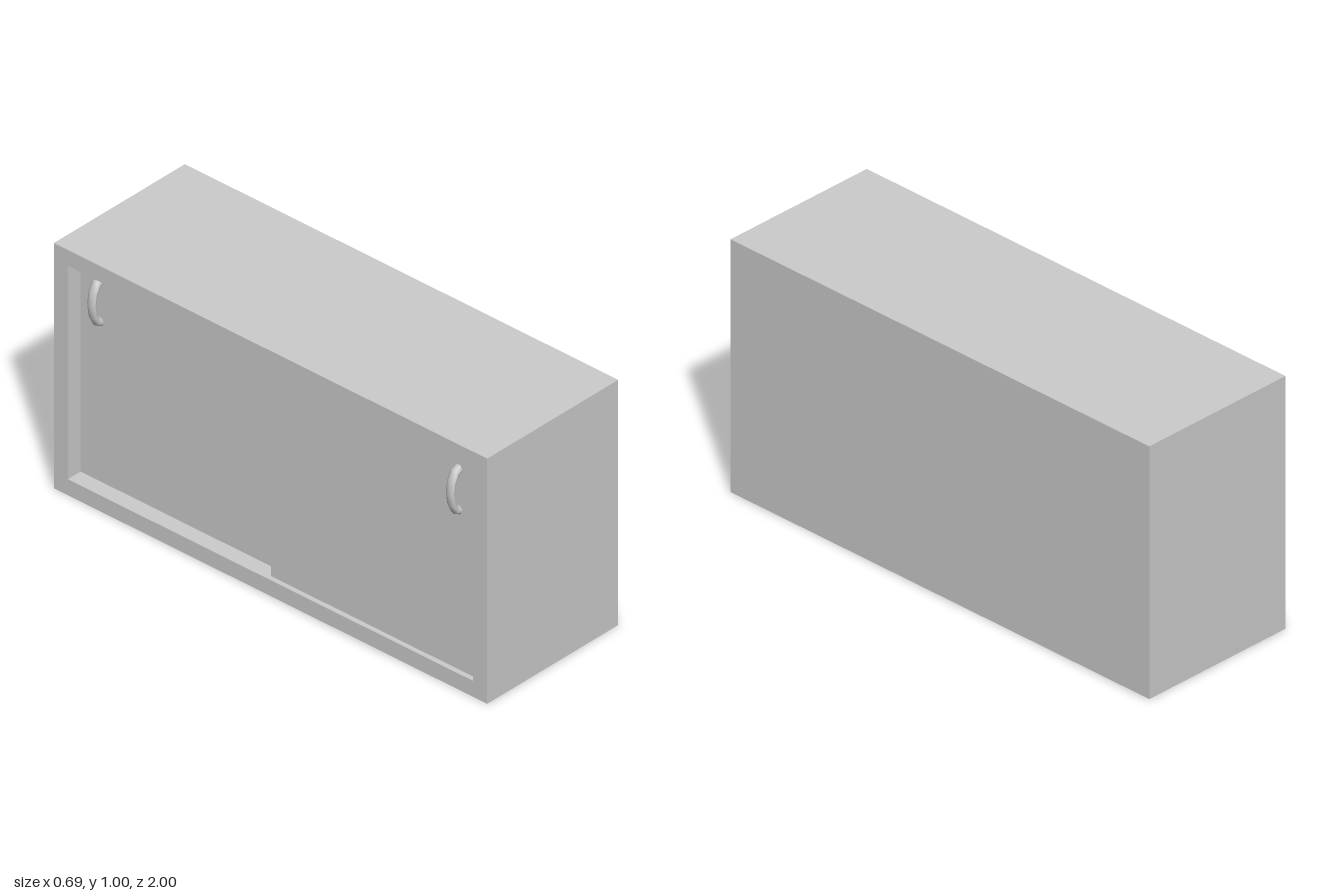
import * as THREE from 'three';

const grey = new THREE.MeshStandardMaterial({ color: 0xcccccc });

// Box given by its min and max corners
function panel(name, min, max) {
  const size = max.map((v, i) => v - min[i]);
  const mesh = new THREE.Mesh(new THREE.BoxGeometry(...size), grey);
  mesh.position.set(...max.map((v, i) => (v + min[i]) / 2));
  mesh.name = name;
  return mesh;
}

// Bow handle: flattened half ring standing out from the door towards -x
function handle(name, x, z) {
  const geo = new THREE.TorusGeometry(0.085, 0.019, 10, 6, Math.PI);
  geo.rotateZ(Math.PI / 2);
  geo.scale(0.5, 1, 1);
  const mesh = new THREE.Mesh(geo, grey);
  mesh.position.set(x, 0.8, z);
  mesh.name = name;
  return mesh;
}

export function createModel() {
  const group = new THREE.Group();
  group.name = 'slidingDoorCabinet';
  const open = -0.318, back = 0.347, t = 0.065;

  // Carcass: a rectangular ring extruded through the depth, closed by a rear panel
  const outline = new THREE.Shape([[-1, 0], [1, 0], [1, 1], [-1, 1]].map(p => new THREE.Vector2(...p)));
  const i = 1 - t;
  outline.holes.push(new THREE.Path([[-i, t], [-i, 1 - t], [i, 1 - t], [i, t]].map(p => new THREE.Vector2(...p))));
  const ring = new THREE.ExtrudeGeometry(outline, { depth: back - open, bevelEnabled: false });
  ring.rotateY(Math.PI / 2);
  const carcass = new THREE.Mesh(ring, grey);
  carcass.position.x = open;
  carcass.name = 'carcass';
  group.add(carcass);
  group.add(panel('rearPanel', [back - t, t, -i], [back, 1 - t, i]));

  // Sliding doors on two tracks, overlapping slightly in the middle
  const outer = open + 0.02, inner = outer + 0.045;
  group.add(panel('outerDoor', [outer, t, -0.016], [inner, 1 - t, i]));
  group.add(panel('innerDoor', [inner, t, -i], [inner + 0.045, 1 - t, 0.016]));

  // Handles near the outer edge of each door
  group.add(handle('outerDoorHandle', outer + 0.003, 0.848));
  group.add(handle('innerDoorHandle', inner + 0.003, -0.848));
  return group;
}
